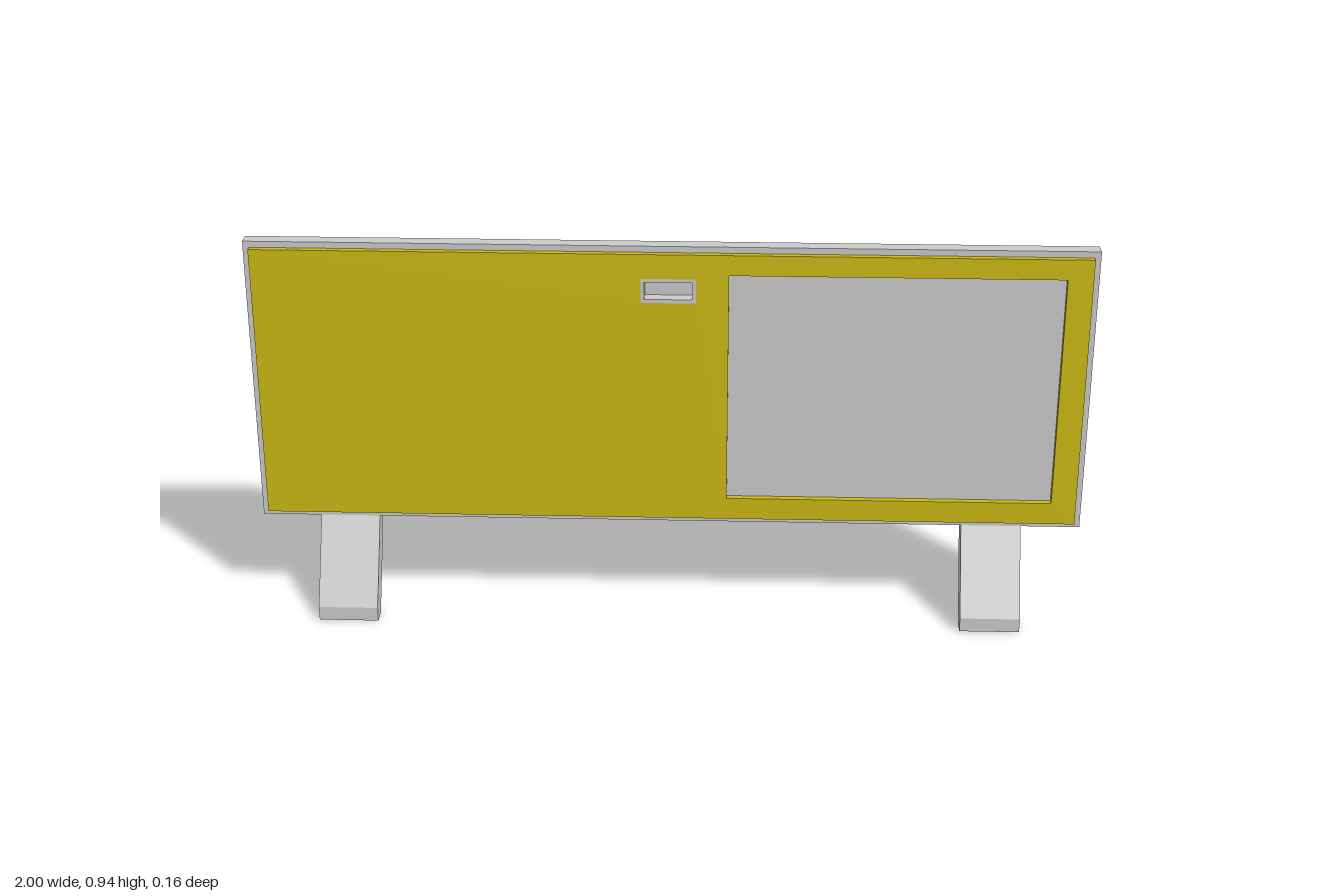
import * as THREE from 'three';

const grey = new THREE.MeshStandardMaterial({ color: 0xcccccc, flatShading: true });
const olive = new THREE.MeshStandardMaterial({ color: 0xccba14, flatShading: true });
const orange = new THREE.MeshStandardMaterial({ color: 0xffb914, flatShading: true });

// Board depth range, and the outer faces of the two cladding panels
const BACK = -0.0625, FRONT = -0.025, PANEL_FRONT = -0.009, PANEL_BACK = -0.08;

// Rectangles as [x0, y0, x1, y1]
const BOARD = [-1, 0.235, 1, 0.945];
const PANEL = [-0.985, 0.25, 0.985, 0.93];
const WINDOW = [0.14, 0.305, 0.925, 0.88];
const GRIP = [-0.067, 0.81, 0.063, 0.87];
const GRIP_INNER = [-0.058, 0.819, 0.054, 0.861];

function trace(path, [x0, y0, x1, y1]) {
  path.moveTo(x0, y0);
  path.lineTo(x1, y0);
  path.lineTo(x1, y1);
  path.lineTo(x0, y1);
  path.closePath();
  return path;
}

// Rectangular slab with rectangular openings, between two depths
function slab(name, rect, holes, z0, z1, material) {
  const shape = trace(new THREE.Shape(), rect);
  for (const h of holes) shape.holes.push(trace(new THREE.Path(), h));
  const geometry = new THREE.ExtrudeGeometry(shape, { depth: z1 - z0, bevelEnabled: false });
  geometry.translate(0, 0, z0);
  const mesh = new THREE.Mesh(geometry, material);
  mesh.name = name;
  return mesh;
}

// Bent foot, its side profile given as (z, y)
function leg(name, x) {
  const profile = [[FRONT, 0.235], [BACK, 0.235], [BACK, 0.197], [0.043, 0], [0.083, 0], [0.083, 0.035]];
  const shape = new THREE.Shape(profile.map(([z, y]) => new THREE.Vector2(z, y)));
  const width = 0.145;
  const geometry = new THREE.ExtrudeGeometry(shape, { depth: width, bevelEnabled: false });
  geometry.translate(0, 0, -width / 2);
  geometry.rotateY(-Math.PI / 2);
  const mesh = new THREE.Mesh(geometry, grey);
  mesh.name = name;
  mesh.position.x = x;
  return mesh;
}

export function createModel() {
  const model = new THREE.Group();
  model.name = 'standingPanel';

  // Core board, seen at its rim and through the windows
  model.add(slab('board', BOARD, [GRIP], BACK, FRONT, grey));

  // Coloured cladding on both faces
  model.add(slab('frontPanel', PANEL, [WINDOW, GRIP], FRONT, PANEL_FRONT, olive));
  model.add(slab('backPanel', PANEL, [WINDOW, GRIP], PANEL_BACK, BACK, orange));

  // Grip: a rim running through the board, closed at mid depth
  const grip = new THREE.Group();
  grip.name = 'grip';
  grip.add(slab('gripRim', GRIP, [GRIP_INNER], PANEL_BACK, PANEL_FRONT, grey));
  grip.add(slab('gripFloor', GRIP_INNER, [], -0.048, -0.041, grey));
  model.add(grip);

  // Feet
  model.add(leg('leftLeg', 0.785), leg('rightLeg', -0.785));
  return model;
}
